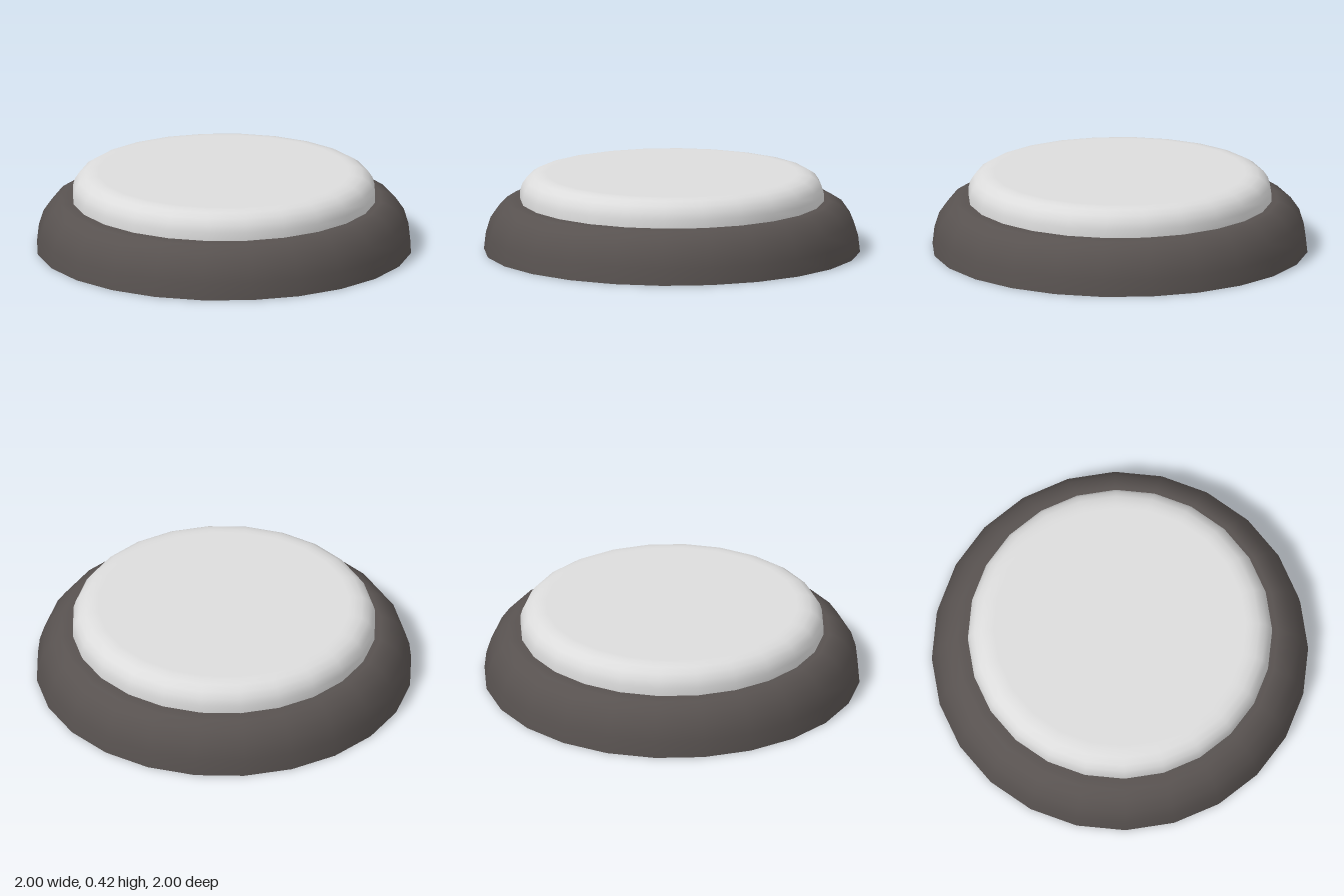
import * as THREE from 'three';

const SIDES = 24;

// Turns a profile of [radius, height] pairs, listed from bottom to top.
function lathe(name, profile, material) {
  const points = profile.map(([r, y]) => new THREE.Vector2(r, y));
  const mesh = new THREE.Mesh(new THREE.LatheGeometry(points, SIDES), material);
  mesh.name = name;
  return mesh;
}

export function createModel() {
  const darkShell = new THREE.MeshStandardMaterial({ color: 0x585250, side: THREE.DoubleSide });
  darkShell.name = 'dark shell';
  const paleCap = new THREE.MeshStandardMaterial({ color: 0xdcdcdc });
  paleCap.name = 'pale cap';

  const model = new THREE.Group();
  model.name = 'roundButton';

  // Hollow base, open underneath, with a rounded shoulder
  model.add(lathe('baseShell', [
    [1, 0], [0.99, 0.09], [0.965, 0.17], [0.92, 0.235], [0.87, 0.267], [0.84, 0.272], [0.808, 0.272],
  ], darkShell));

  // Raised cap with a rounded edge and a flat top
  model.add(lathe('cap', [
    [0.808, 0.272], [0.808, 0.315], [0.797, 0.352], [0.775, 0.385], [0.74, 0.407], [0.7, 0.416], [0.67, 0.417], [0, 0.417],
  ], paleCap));

  // Flat underside of the cap, seen through the open base
  model.add(lathe('capUnderside', [[0, 0.272], [0.808, 0.272]], paleCap));

  return model;
}
